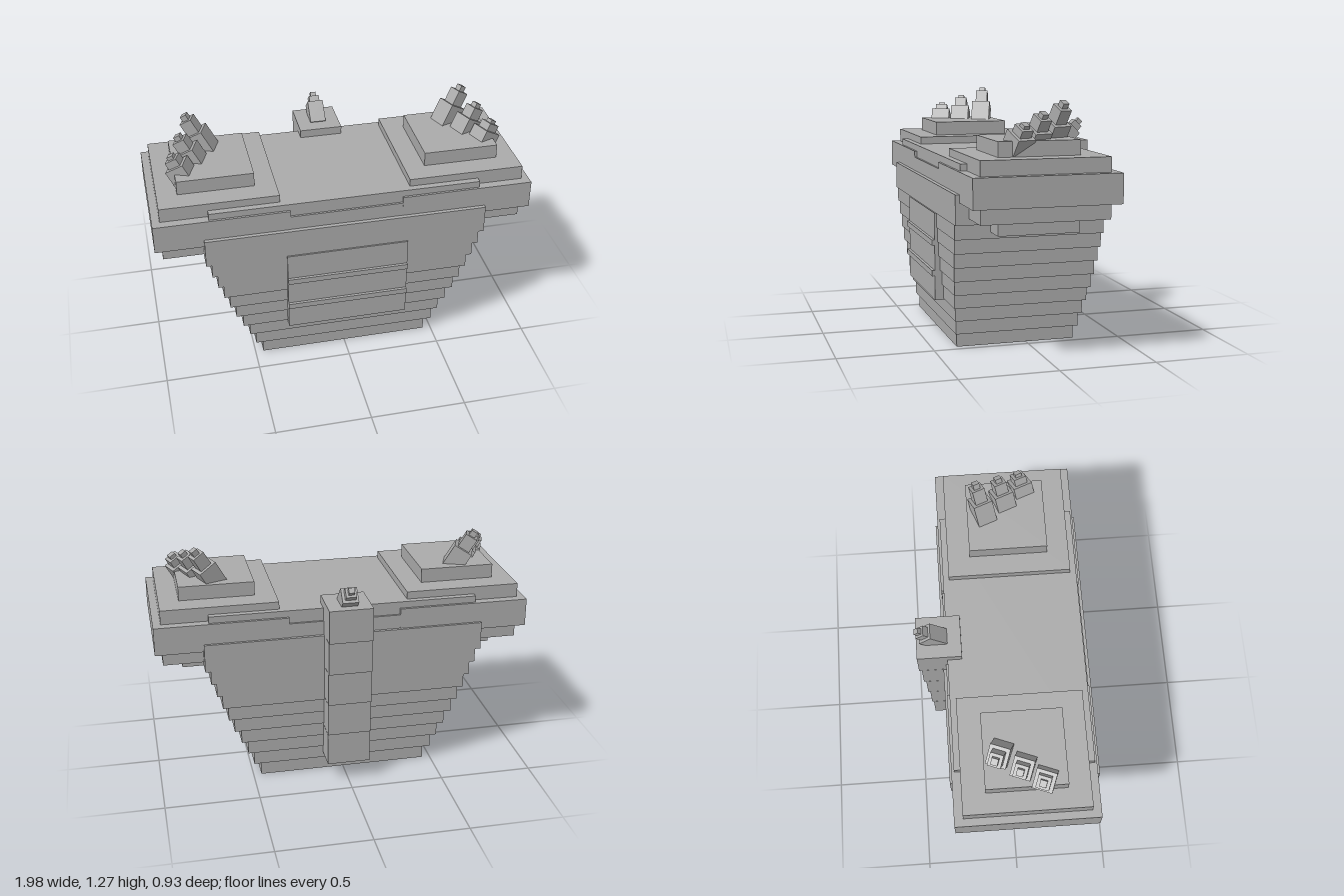
import * as THREE from 'three';

const stone = new THREE.MeshStandardMaterial({ color: 0xaaaaaa });
stone.name = 'grey stone';

// Box given by its min and max along each axis
function block(parent, name, x0, x1, y0, y1, z0, z1) {
  const mesh = new THREE.Mesh(new THREE.BoxGeometry(x1 - x0, y1 - y0, z1 - z0), stone);
  mesh.position.set((x0 + x1) / 2, (y0 + y1) / 2, (z0 + z1) / 2);
  mesh.name = name;
  parent.add(mesh);
  return mesh;
}

// Stepped spire whose tip sits at the local origin and which runs down local -y
function spire(name, widths, tipLength, midLength, baseLength) {
  const g = new THREE.Group();
  g.name = name;
  const [base, mid, tip] = widths.map(w => w / 2);
  const baseTop = -tipLength - midLength;
  block(g, 'spireTip', -tip, tip, -tipLength, 0, -tip, tip);
  block(g, 'spireMiddle', -mid, mid, baseTop, -tipLength, -mid, mid);
  block(g, 'spireBase', -base, base, baseTop - baseLength, baseTop, -base, base);
  return g;
}

// One shoulder on the +x side: a stack of plates with three leaning spires
function shoulder() {
  const g = new THREE.Group();
  block(g, 'shoulderSlab', 0.295, 0.99, 0.79, 0.94, -0.318, 0.424);
  block(g, 'shoulderUpperPlate', 0.34, 0.95, 0.94, 1.015, -0.272, 0.378);
  block(g, 'shoulderTopPlate', 0.45, 0.845, 1.015, 1.09, -0.153, 0.262);
  block(g, 'shoulderLowerPlate', 0.34, 0.95, 0.712, 0.79, -0.272, 0.378);
  block(g, 'shoulderBottomPlate', 0.45, 0.845, 0.637, 0.712, -0.153, 0.262);
  const spires = [
    // tip x, y, z, tip length, middle length
    [0.755, 1.266, -0.1, 0.03, 0.08],
    [0.805, 1.218, 0.02, 0.025, 0.062],
    [0.855, 1.17, 0.13, 0.018, 0.04],
  ];
  for (const [x, y, z, tip, mid] of spires) {
    const s = spire('shoulderSpire', [0.105, 0.068, 0.035], tip, mid, 0.16);
    s.position.set(x, y, z);
    s.rotation.set(0, THREE.MathUtils.degToRad(21), -Math.PI / 6, 'YXZ');
    g.add(s);
  }
  return g;
}

export function createModel() {
  const model = new THREE.Group();
  model.name = 'steppedTorso';

  // Torso: half width, back z, front z of each layer from the bottom up
  const layers = [
    [0.457, -0.26, 0.372], [0.495, -0.274, 0.385], [0.527, -0.285, 0.396],
    [0.562, -0.296, 0.408], [0.598, -0.304, 0.416], [0.628, -0.311, 0.425],
    [0.657, -0.318, 0.432], [0.685, -0.324, 0.437], [0.712, -0.328, 0.442],
    [0.74, -0.332, 0.445], [0.74, -0.332, 0.445], [0.73, -0.315, 0.423],
    [0.708, -0.304, 0.412],
  ];
  const step = 0.0755;
  const torso = new THREE.Group();
  torso.name = 'torso';
  layers.forEach(([w, back, front], i) => {
    const top = i === layers.length - 1 ? 0.975 : (i + 1) * step;
    block(torso, 'torsoLayer', -w, w, i * step, top, back, front);
  });
  model.add(torso);

  // Front panel with two bars
  block(model, 'frontPanel', -0.322, 0.322, 0.22, 0.68, 0.36, 0.453);
  for (const y of [0.348, 0.51]) {
    block(model, 'panelBar', -0.322, 0.322, y, y + 0.03, 0.44, 0.468);
  }

  // Segmented column down the back, each segment set further out
  const spine = new THREE.Group();
  spine.name = 'backColumn';
  const spineBack = [-0.416, -0.425, -0.436, -0.448, -0.462];
  spineBack.forEach((z, i) => {
    const y = 0.11 + i * 0.182;
    block(spine, 'columnSegment', -0.115, 0.115, y, y + 0.18, z, z + 0.235);
  });
  const backSpire = spire('columnSpire', [0.085, 0.055, 0.03], 0.025, 0.035, 0.12);
  backSpire.position.set(0, 1.122, -0.456);
  backSpire.rotation.x = -Math.PI / 4;
  spine.add(backSpire);
  model.add(spine);

  // Shoulders, the second turned into a true mirror by flipping x
  const left = shoulder();
  left.name = 'leftShoulder';
  const right = shoulder();
  right.name = 'rightShoulder';
  right.scale.x = -1;
  model.add(left, right);

  return model;
}
